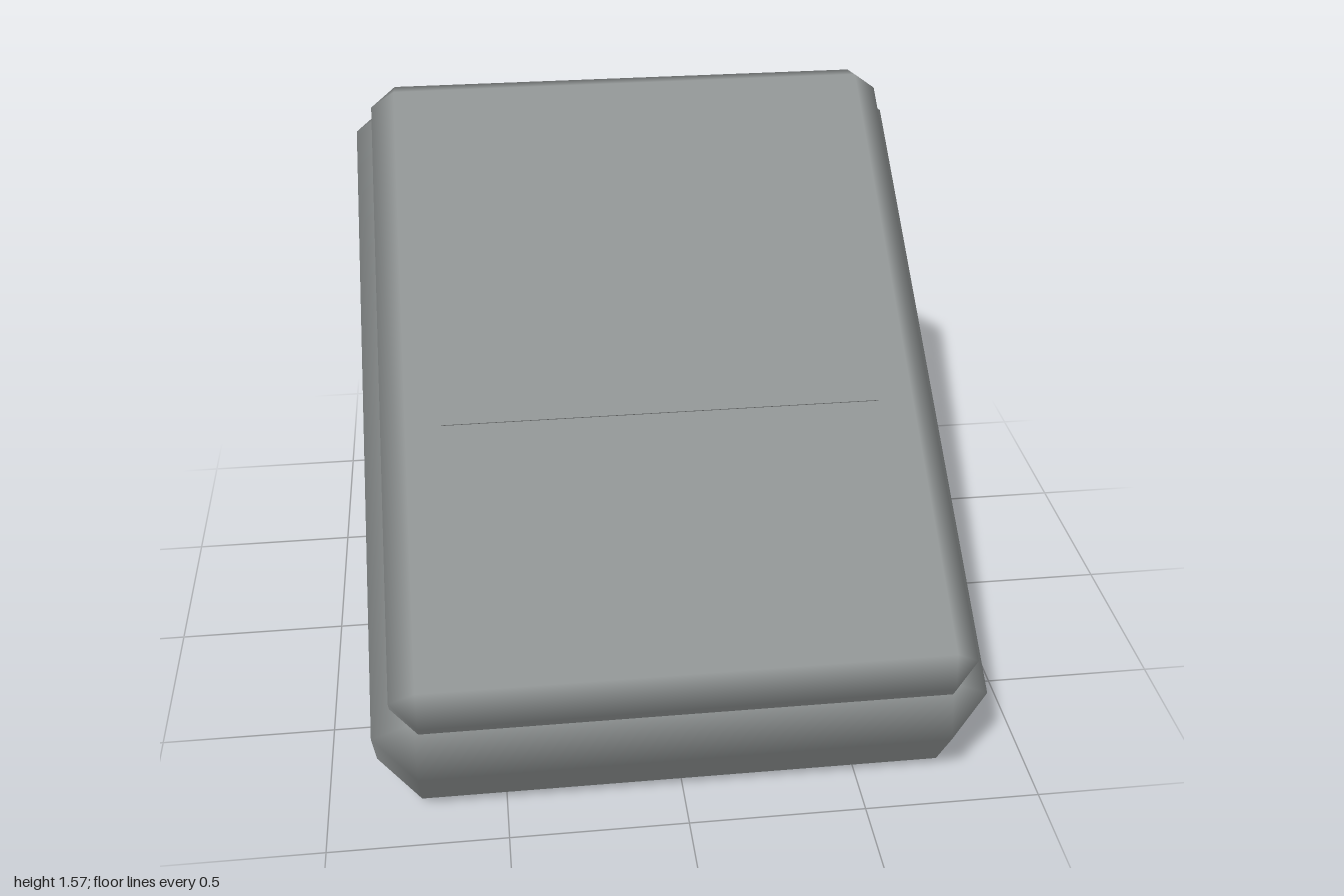
import * as THREE from 'three';

// Box with one chamfer per edge; every vertex keeps the normal of its flat face,
// so the faces stay flat and the chamfers shade softly.
function chamferBox(halfX, halfY, halfZ, r) {
  const half = [halfX, halfY, halfZ];
  const pos = [], nor = [], index = [], pts = [];
  for (let c = 0; c < 8; c++) {
    const s = [0, 1, 2].map((i) => ((c >> i) & 1 ? 1 : -1));
    for (let a = 0; a < 3; a++) {
      const p = s.map((v, i) => v * (i === a ? half[i] : half[i] - r));
      pos.push(...p);
      nor.push(...s.map((v, i) => (i === a ? v : 0)));
      pts.push(new THREE.Vector3(...p));
    }
  }
  // triangle turned to face away from the centre
  const tri = (i, j, k) => {
    const n = pts[j].clone().sub(pts[i]).cross(pts[k].clone().sub(pts[i]));
    if (n.dot(pts[i]) > 0) index.push(i, j, k);
    else index.push(i, k, j);
  };
  const quad = (i, j, k, l) => { tri(i, j, k); tri(i, k, l); };
  const id = (corner, axis) => corner * 3 + axis;
  for (let a = 0; a < 3; a++) {
    const A = 1 << a, b = (a + 1) % 3, d = (a + 2) % 3;
    const B = 1 << b, D = 1 << d;
    // two flat faces
    for (const c of [0, A]) quad(id(c, a), id(c | B, a), id(c | B | D, a), id(c | D, a));
    // four chamfers running along this axis
    for (const c of [0, B, D, B | D]) quad(id(c, b), id(c | A, b), id(c | A, d), id(c, d));
  }
  // corner triangles
  for (let c = 0; c < 8; c++) tri(id(c, 0), id(c, 1), id(c, 2));

  const g = new THREE.BufferGeometry();
  g.setAttribute('position', new THREE.Float32BufferAttribute(pos, 3));
  g.setAttribute('normal', new THREE.Float32BufferAttribute(nor, 3));
  g.setIndex(index);
  return g;
}

export function createModel() {
  const grey = new THREE.MeshStandardMaterial({ color: 0x8e9292 });
  grey.name = 'grey';

  const model = new THREE.Group();
  model.name = 'slantedCase';
  const add = (name, geometry, y, z) => {
    const mesh = new THREE.Mesh(geometry, grey);
    mesh.name = name;
    mesh.position.set(0, y, z);
    tilted.add(mesh);
  };

  // the whole case leans back, with its front edge on the ground
  const tilted = new THREE.Group();
  tilted.name = 'tiltedCase';
  tilted.rotation.x = 0.589;
  model.add(tilted);

  add('body', chamferBox(0.86, 0.228, 1.119, 0.123), 0.61, -0.427);
  add('lid', chamferBox(0.8, 0.097, 1.031, 0.075), 0.873, -0.429);
  // thin panel on the lid
  add('panel', new THREE.BoxGeometry(1.25, 0.008, 0.574), 0.97, -0.526);

  return model;
}
